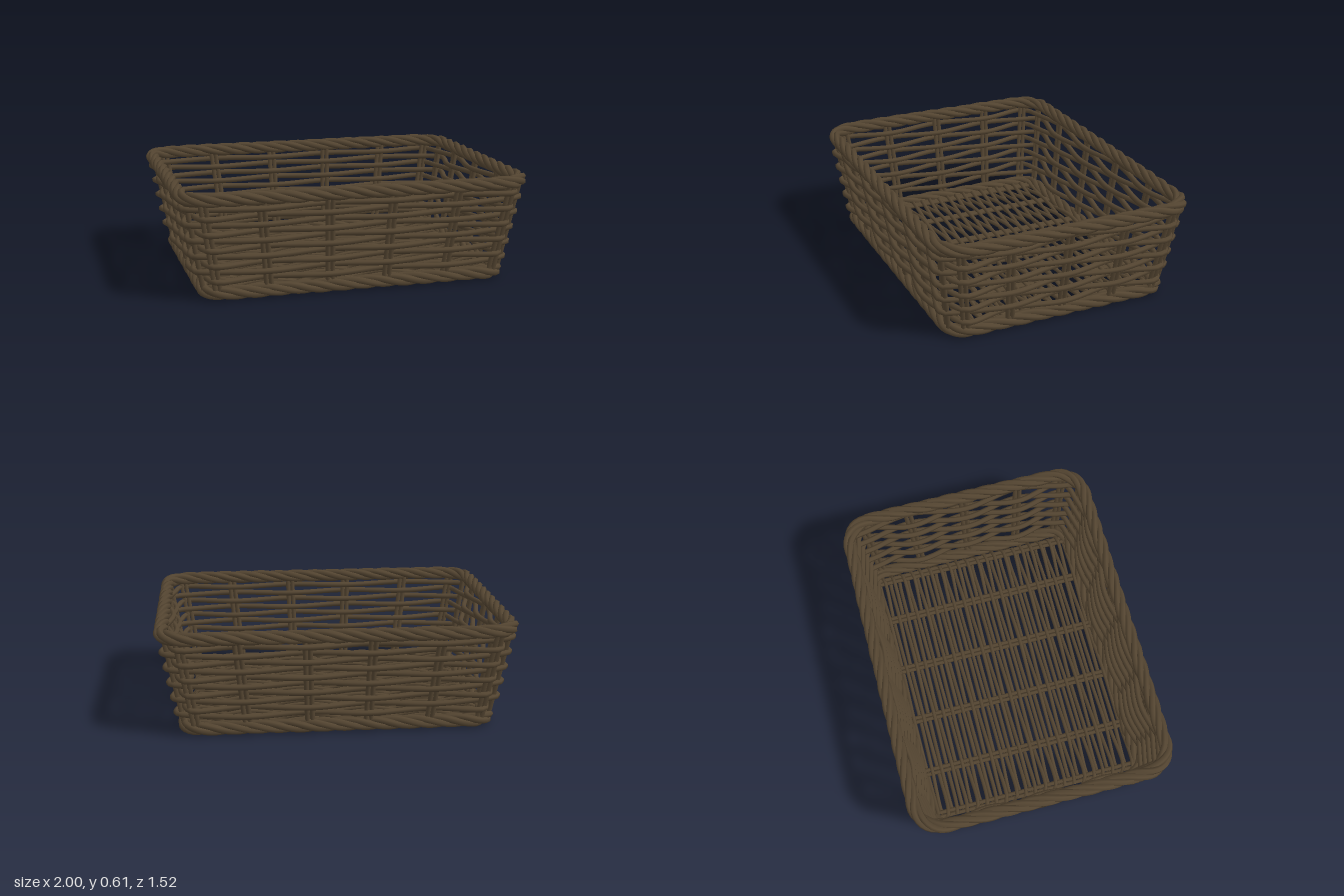
import * as THREE from 'three';

const V = (x, y, z) => new THREE.Vector3(x, y, z);
const wicker = new THREE.MeshStandardMaterial({ color: 0x544531 });
wicker.name = 'dark brown wicker';

// A round cane following a list of points
function cane(name, points, radius, segments, closed = false) {
  const curve = new THREE.CatmullRomCurve3(points, closed, 'centripetal');
  curve.arcLengthDivisions = Math.max(200, points.length * 10);
  const mesh = new THREE.Mesh(new THREE.TubeGeometry(curve, segments, radius, 6, closed), wicker);
  mesh.name = name;
  return mesh;
}

// Four canes twisted together around a rounded rectangle
function twistedBorder(name, hx, hz, y, corner, turns) {
  const group = new THREE.Group();
  group.name = name;
  const path = new THREE.Path();
  const cx = hx - corner, cz = hz - corner, q = Math.PI / 2;
  path.absarc(cx, cz, corner, 0, q);
  path.absarc(-cx, cz, corner, q, 2 * q);
  path.absarc(-cx, -cz, corner, 2 * q, 3 * q);
  path.absarc(cx, -cz, corner, 3 * q, 4 * q);
  path.closePath();
  const n = 200, strands = 4, twist = 0.021;
  for (let s = 0; s < strands; s++) {
    const points = [];
    for (let i = 0; i < n; i++) {
      const p = path.getPointAt(i / n), t = path.getTangentAt(i / n);
      const a = 2 * Math.PI * (turns * i / n + s / strands);
      const out = twist * Math.cos(a);
      points.push(V(p.x + t.y * out, y + twist * Math.sin(a), p.y - t.x * out));
    }
    group.add(cane('borderCane', points, 0.0195, 240, true));
  }
  return group;
}

// Half width and half depth of the sloping wall at a height
const halfX = y => 0.842 + 0.185 * y;
const halfZ = y => 0.635 + 0.14 * y;

// Upright positions around the wall, as fractions of each half side; null marks a corner
const alongX = [-0.92, -0.59, -0.19, 0.19, 0.59, 0.92];
const alongZ = [-0.88, -0.48, 0, 0.48, 0.88];
const stations = [];
alongX.forEach(f => stations.push({ fx: f, fz: 1, nx: 0, nz: 1 }));
stations.push({ fx: 1, fz: 1, corner: true });
alongZ.forEach(f => stations.push({ fx: 1, fz: -f, nx: 1, nz: 0 }));
stations.push({ fx: 1, fz: -1, corner: true });
alongX.forEach(f => stations.push({ fx: -f, fz: -1, nx: 0, nz: -1 }));
stations.push({ fx: -1, fz: -1, corner: true });
alongZ.forEach(f => stations.push({ fx: -1, fz: f, nx: -1, nz: 0 }));
stations.push({ fx: -1, fz: 1, corner: true });

export function createModel() {
  const basket = new THREE.Group();
  basket.name = 'wickerBasket';

  // Twisted rim and foot
  basket.add(twistedBorder('rim', 0.96, 0.722, 0.57, 0.15, 14));
  basket.add(twistedBorder('foot', 0.845, 0.64, 0.041, 0.1, 12));

  // Paired uprights leaning outwards
  const uprights = new THREE.Group();
  uprights.name = 'uprights';
  for (const s of stations) {
    if (s.corner) continue;
    for (const side of [-0.014, 0.014]) {
      const at = y => V(s.fx * halfX(y) + s.nz * side, y, s.fz * halfZ(y) + s.nx * side);
      uprights.add(cane('upright', [at(0.04), at(0.3), at(0.57)], 0.0135, 4));
    }
  }
  basket.add(uprights);

  // Wall rows passing in front of and behind the uprights by turns
  const wall = new THREE.Group();
  wall.name = 'wovenWall';
  for (let row = 0; row < 10; row++) {
    const y = 0.112 + row * 0.0445;
    const hx = halfX(y), hz = halfZ(y);
    let sign = row % 2 ? 1 : -1;
    const points = stations.map(s => {
      if (s.corner) return V(s.fx * (hx - 0.035), y, s.fz * (hz - 0.035));
      sign = -sign;
      return V(s.fx * hx + s.nx * sign * 0.027, y, s.fz * hz + s.nz * sign * 0.027);
    });
    wall.add(cane('wallRow', points, 0.0165, 180, true));
  }
  basket.add(wall);

  // Floor: paired ribs and one long cane snaking back and forth over them
  const floor = new THREE.Group();
  floor.name = 'wovenFloor';
  const ribs = [-0.775, -0.505, -0.168, 0.168, 0.505, 0.775];
  const floorY = 0.037;
  for (const x of ribs) {
    for (const side of [-0.013, 0.013]) {
      floor.add(cane('floorRib', [V(x + side, floorY, -0.64), V(x + side, floorY, 0), V(x + side, floorY, 0.64)], 0.0125, 4));
    }
  }
  const snake = [], count = 41, pitch = 0.03;
  let over = 1;
  for (let i = 0; i < count; i++) {
    const z = (i - (count - 1) / 2) * pitch;
    const dir = i % 2 ? -1 : 1;
    for (const r of ribs) {
      const x = r * dir;
      const wobble = 0.004 * Math.sin(i * 2.3 + x * 5);
      snake.push(V(x, floorY + over * 0.02, z + wobble));
      over = -over;
    }
    if (i < count - 1) snake.push(V(dir * 0.808, floorY, z + pitch / 2));
  }
  floor.add(cane('floorWeave', snake, 0.0115, 1500));
  basket.add(floor);

  return basket;
}
